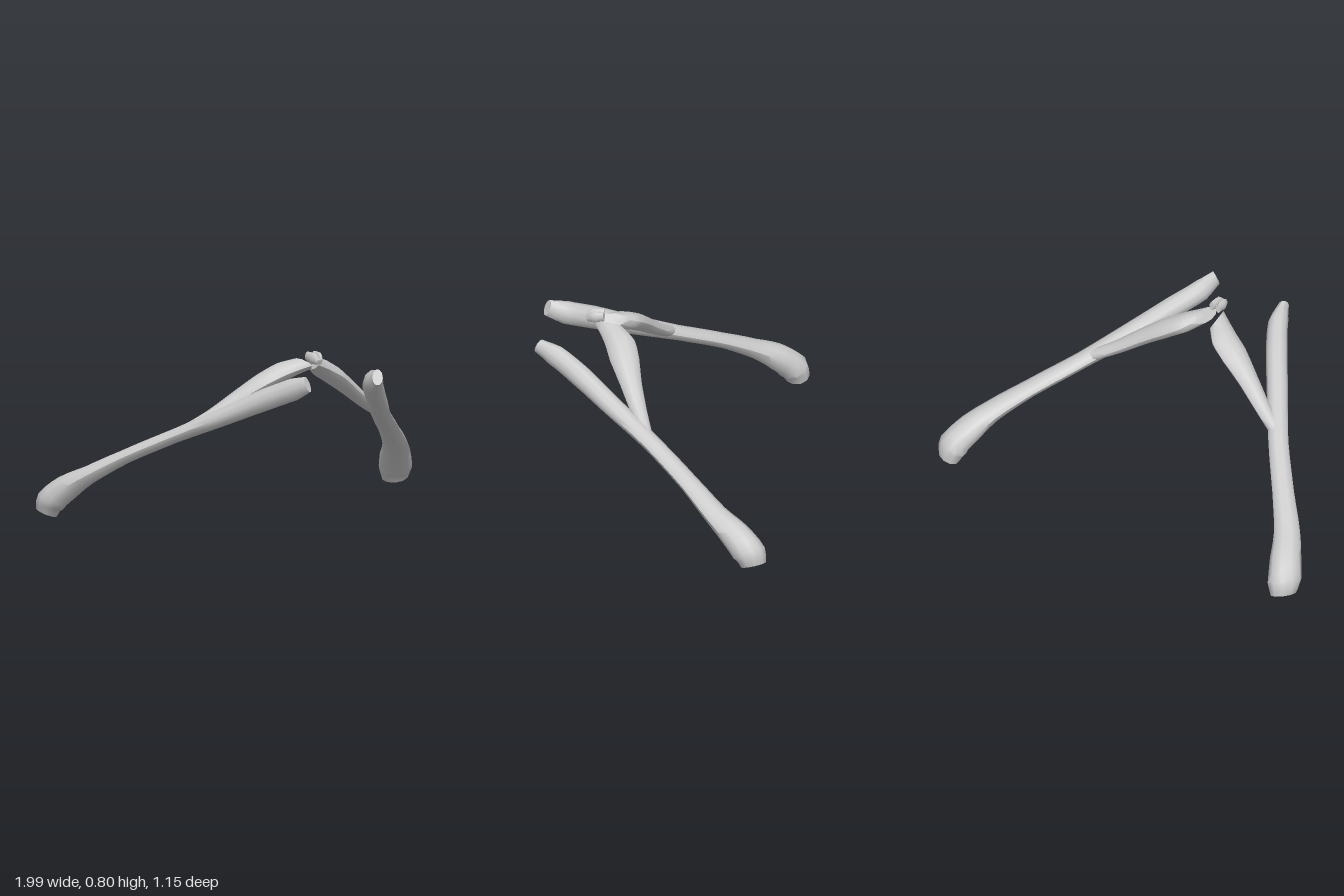
import * as THREE from 'three';
import { toCreasedNormals } from 'three/addons/utils/BufferGeometryUtils.js';

const SIDES = 10, STEPS = 3;

// Stations: [x, y, z, half width, half height, yaw of the width axis in degrees]
const shaft = [
  [0.188, 0.738, 0.562, 0.024, 0.038, 34],
  [0.215, 0.705, 0.48, 0.046, 0.054, 34],
  [0.29, 0.648, 0.36, 0.05, 0.053, 35],
  [0.405, 0.56, 0.2, 0.049, 0.044, 36],
  [0.55, 0.453, 0.0, 0.046, 0.034, 37],
  [0.71, 0.34, -0.19, 0.05, 0.034, 37],
  [0.825, 0.245, -0.325, 0.06, 0.044, 37],
  [0.88, 0.182, -0.415, 0.072, 0.062, 38],
  [0.925, 0.11, -0.488, 0.08, 0.07, 48],
  [0.935, 0.055, -0.51, 0.062, 0.052, 52],
];
const branch = [
  [0.53, 0.47, 0.025, 0.03, 0.026, 65],
  [0.41, 0.54, 0.075, 0.038, 0.03, 70],
  [0.3, 0.617, 0.122, 0.05, 0.036, 72],
  [0.19, 0.69, 0.165, 0.068, 0.042, 75],
  [0.1, 0.74, 0.2, 0.072, 0.042, 85],
  [0.03, 0.775, 0.252, 0.068, 0.032, 100],
];
const tip = [
  [0.007, 0.796, 0.36, 0.007, 0.014, 5],
  [0.015, 0.809, 0.33, 0.015, 0.028, 5],
  [0.018, 0.815, 0.28, 0.013, 0.022, 5],
];

// Lofts elliptical rings through the stations; side = -1 mirrors across x
function loft(stations, side) {
  const path = new THREE.CatmullRomCurve3(
    stations.map(([x, y, z]) => new THREE.Vector3(side * x, y, z)));
  const spans = stations.length - 1, rings = spans * STEPS;
  const pos = [], index = [];
  let flip = false;
  for (let i = 0; i <= rings; i++) {
    const t = i / rings, k = Math.min(Math.floor(i / STEPS), spans - 1);
    const f = i / STEPS - k;
    const [w, h, yaw] = [3, 4, 5].map((n) => THREE.MathUtils.lerp(stations[k][n], stations[k + 1][n], f));
    const a = THREE.MathUtils.degToRad(yaw);
    const c = path.getPoint(t), d = path.getTangent(t);
    const s = new THREE.Vector3(side * Math.cos(a), 0, Math.sin(a));
    const u = new THREE.Vector3().crossVectors(d, s).normalize();
    if (u.y < 0) u.negate();
    flip = new THREE.Vector3().crossVectors(s, u).dot(d) < 0;
    for (let j = 0; j < SIDES; j++) {
      const q = (j / SIDES) * Math.PI * 2;
      const p = c.clone().addScaledVector(s, w * Math.cos(q)).addScaledVector(u, h * Math.sin(q));
      pos.push(p.x, p.y, p.z);
    }
  }
  const tri = (a, b, c) => (flip ? index.push(a, c, b) : index.push(a, b, c));
  const start = (rings + 1) * SIDES, end = start + 1;
  for (const t of [0, 1]) pos.push(...path.getPoint(t).toArray());
  for (let j = 0; j < SIDES; j++) {
    const n = (j + 1) % SIDES, last = rings * SIDES;
    for (let i = 0; i < rings; i++) {
      const a = i * SIDES, b = a + SIDES;
      tri(a + j, a + n, b + n);
      tri(a + j, b + n, b + j);
    }
    tri(start, n, j);
    tri(end, last + j, last + n);
  }
  const g = new THREE.BufferGeometry();
  g.setAttribute('position', new THREE.Float32BufferAttribute(pos, 3));
  g.setIndex(index);
  return toCreasedNormals(g, 0.75);
}

export function createModel() {
  const bone = new THREE.MeshStandardMaterial({ color: 0xcccccc });
  bone.name = 'pale bone grey';
  const model = new THREE.Group();
  model.name = 'pairedBones';
  for (const [side, label] of [[1, 'left'], [-1, 'right']]) {
    const half = new THREE.Group();
    half.name = label + 'Half';
    // Long shaft, inner branch and small knob at the midline
    for (const [name, stations] of [['Shaft', shaft], ['Branch', branch], ['MidlineKnob', tip]]) {
      const mesh = new THREE.Mesh(loft(stations, side), bone);
      mesh.name = label + name;
      half.add(mesh);
    }
    model.add(half);
  }
  return model;
}
